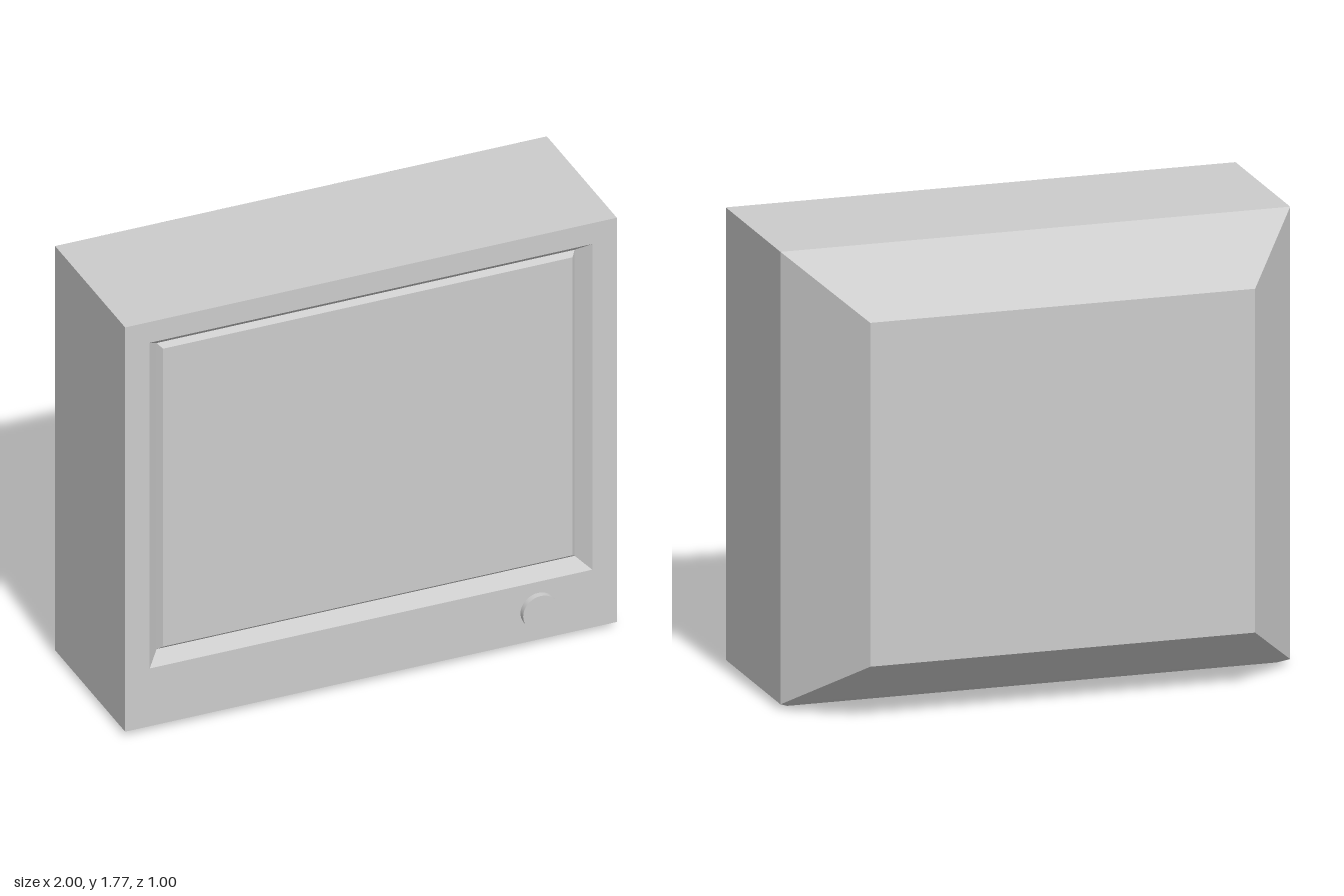
import * as THREE from 'three';

const material = new THREE.MeshStandardMaterial({ color: 0xcccccc, flatShading: true });
const smooth = new THREE.MeshStandardMaterial({ color: 0xcccccc });

// Skin a series of rectangles [halfWidth, yMin, yMax, z], with optional end caps.
function loftRects(sections, capStart, capEnd) {
  const rings = sections.map(([w, y0, y1, z]) => [[-w, y0, z], [w, y0, z], [w, y1, z], [-w, y1, z]]);
  const pos = [];
  const quad = (a, b, c, d) => pos.push(...a, ...b, ...c, ...a, ...c, ...d);
  for (let s = 0; s < rings.length - 1; s++) {
    const a = rings[s], b = rings[s + 1];
    for (let i = 0; i < 4; i++) {
      const j = (i + 1) % 4;
      quad(a[i], a[j], b[j], b[i]);
    }
  }
  if (capStart) quad(...[...rings[0]].reverse());
  if (capEnd) quad(...rings[rings.length - 1]);
  const geo = new THREE.BufferGeometry();
  geo.setAttribute('position', new THREE.Float32BufferAttribute(pos, 3));
  geo.computeVertexNormals();
  return geo;
}

export function createModel() {
  const group = new THREE.Group();
  const add = (name, geo, mat = material) => {
    const mesh = new THREE.Mesh(geo, mat);
    mesh.name = name;
    group.add(mesh);
    return mesh;
  };

  // Casing: tapered back, straight sides, front frame and sloped recess
  add('casing', loftRects([
    [0.755, 0.23, 1.56, -0.5],
    [1, 0.02, 1.77, -0.175],
    [1, 0.02, 1.77, 0.475],
    [0.9, 0.27, 1.68, 0.475],
    [0.85, 0.315, 1.64, 0.425],
  ], true, false));

  // Screen: flat panel with a bevelled rim, raised inside the recess
  add('screen', loftRects([
    [0.85, 0.315, 1.64, 0.425],
    [0.833, 0.332, 1.622, 0.445],
  ], false, true));

  // Base: shallow bevelled underside, lofted along z and turned to face down
  add('base', loftRects([
    [1, -0.175, 0.475, -0.02],
    [0.96, -0.135, 0.435, 0],
  ], false, true)).rotation.x = Math.PI / 2;

  // Round control knob on the lower frame
  const knob = add('knob', new THREE.CylinderGeometry(0.072, 0.072, 0.03, 40), smooth);
  knob.rotation.x = Math.PI / 2;
  knob.position.set(0.68, 0.15, 0.485);

  return group;
}
